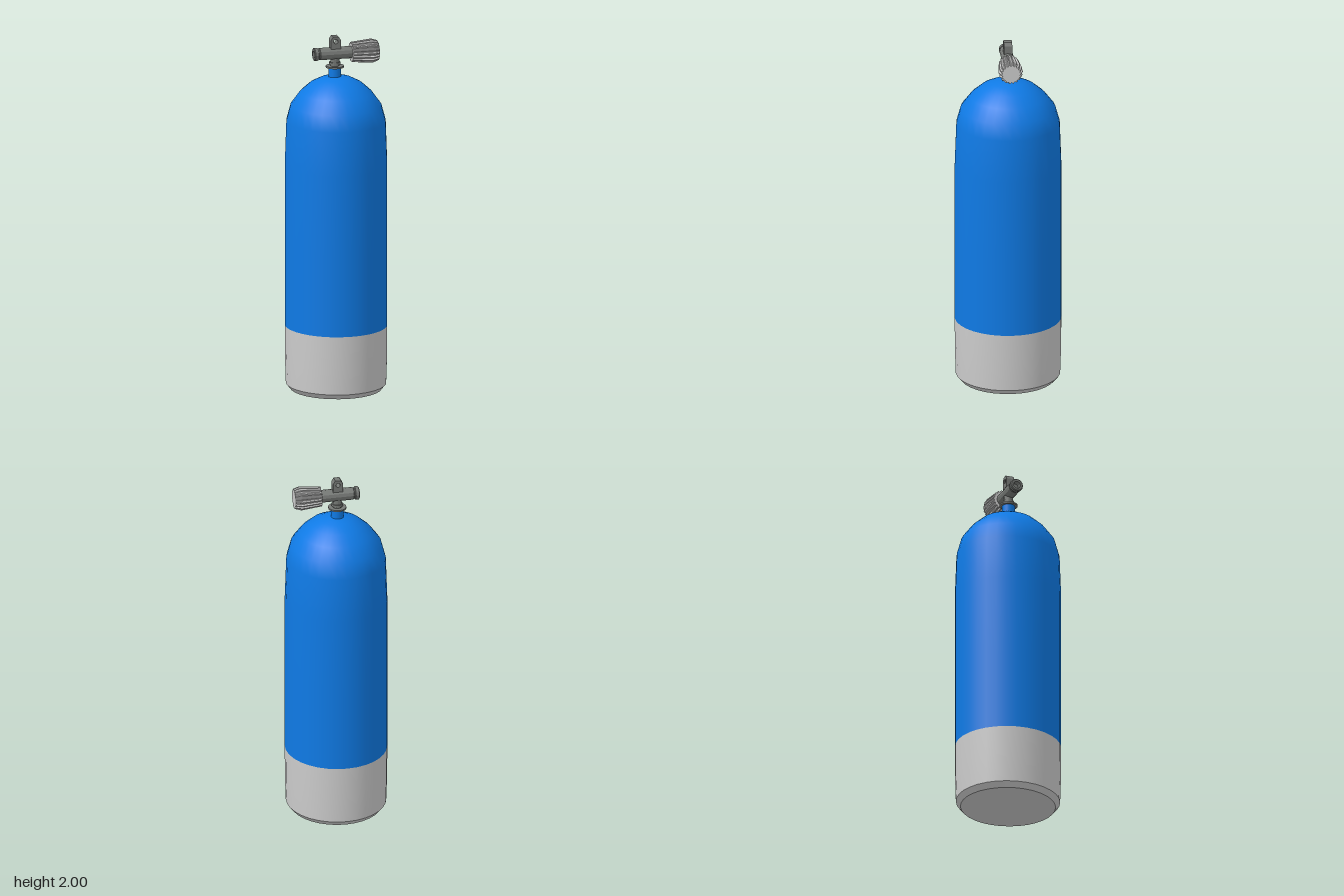
import * as THREE from 'three';

const mat = (color, flatShading = false) => new THREE.MeshStandardMaterial({ color, flatShading });

export function createModel() {
  const model = new THREE.Group();
  const blue = mat(0x0f7ae5);
  const grey = mat(0xcccccc);
  const greyFlat = mat(0xcccccc, true);
  const dark = mat(0x757875, true);

  const add = (name, geometry, material, x = 0, y = 0, z = 0, parent = model) => {
    const mesh = new THREE.Mesh(geometry, material);
    mesh.name = name;
    mesh.position.set(x, y, z);
    parent.add(mesh);
    return mesh;
  };
  const lathe = (points, sides) =>
    new THREE.LatheGeometry(points.map(([r, y]) => new THREE.Vector2(r, y)), sides);

  // Tank: slightly oval, with a domed shoulder
  const tank = (name, points, material) =>
    add(name, lathe(points, 32).scale(0.957, 1, 1), material, -0.001);
  tank('tankBody', [
    [0.295, 0.36], [0.295, 0.8], [0.295, 1.27], [0.286, 1.52], [0.261, 1.61],
    [0.208, 1.68], [0.15, 1.73], [0.09, 1.76], [0.035, 1.772], [0, 1.774],
  ], blue);
  tank('tankBoot', [[0.289, 0.03], [0.294, 0.18], [0.295, 0.36]], grey);
  tank('bootChamfer', [[0.264, 0], [0.289, 0.03]], grey);
  tank('bootBottom', [[0, 0], [0.264, 0]], grey);

  // Neck and valve stem
  const cx = -0.008;
  add('neck', new THREE.CylinderGeometry(0.035, 0.035, 0.06, 20), blue, cx, 1.795);
  add('neckFlange', new THREE.CylinderGeometry(0.05, 0.05, 0.009, 24), dark, cx, 1.827);
  add('valveStem', new THREE.CylinderGeometry(0.025, 0.025, 0.07, 16), dark, cx, 1.86);
  add('stemCollar', new THREE.CylinderGeometry(0.031, 0.031, 0.014, 16), dark, cx, 1.846);

  // Horizontal valve with a recessed outlet at the right end
  const valve = new THREE.Group();
  valve.name = 'valve';
  valve.position.set(0, 1.903, 0.003);
  model.add(valve);
  add('valveBarrel', lathe([
    [0, -0.095], [0.02, -0.095], [0.02, -0.13], [0.032, -0.13], [0.037, -0.126],
    [0.037, -0.108], [0.031, -0.105], [0.031, -0.1], [0.035, -0.097], [0.035, 0.09], [0, 0.09],
  ], 12).rotateZ(-Math.PI / 2), dark, 0, 0, 0, valve);

  // Ribbed handwheel: a cylinder whose vertices are pulled into teeth and a bulge
  const teeth = 18;
  const wheel = new THREE.CylinderGeometry(1, 1, 1, teeth * 4, 2);
  const p = wheel.attributes.position;
  for (let i = 0; i < p.count; i++) {
    const x = p.getX(i), y = p.getY(i), z = p.getZ(i);
    const step = Math.round((Math.atan2(x, z) / (Math.PI * 2)) * teeth * 4 + teeth * 4) % 4;
    const radius = (y === 0 ? 0.067 : 0.056) * (step < 2 ? 1 : 0.87);
    const along = y < -0.1 ? 0.085 : y > 0.1 ? 0.235 : 0.2;
    p.setXYZ(i, x * radius, along, z * radius);
  }
  wheel.rotateZ(-Math.PI / 2);
  wheel.computeVertexNormals();
  add('handwheel', wheel, greyFlat, 0, 0, 0, valve);

  // Upright lug with a rounded top and a cross hole
  const lug = new THREE.Shape();
  lug.moveTo(-0.028, 0);
  lug.lineTo(0.028, 0);
  lug.lineTo(0.028, 0.05);
  lug.lineTo(0.016, 0.07);
  lug.lineTo(-0.016, 0.07);
  lug.lineTo(-0.028, 0.05);
  lug.closePath();
  lug.holes.push(new THREE.Path().absarc(0, 0.042, 0.012, 0, Math.PI * 2, true));
  add('lug', new THREE.ExtrudeGeometry(lug, { depth: 0.046, bevelEnabled: false, curveSegments: 12 }),
    dark, cx, 1.93, -0.022);

  return model;
}
